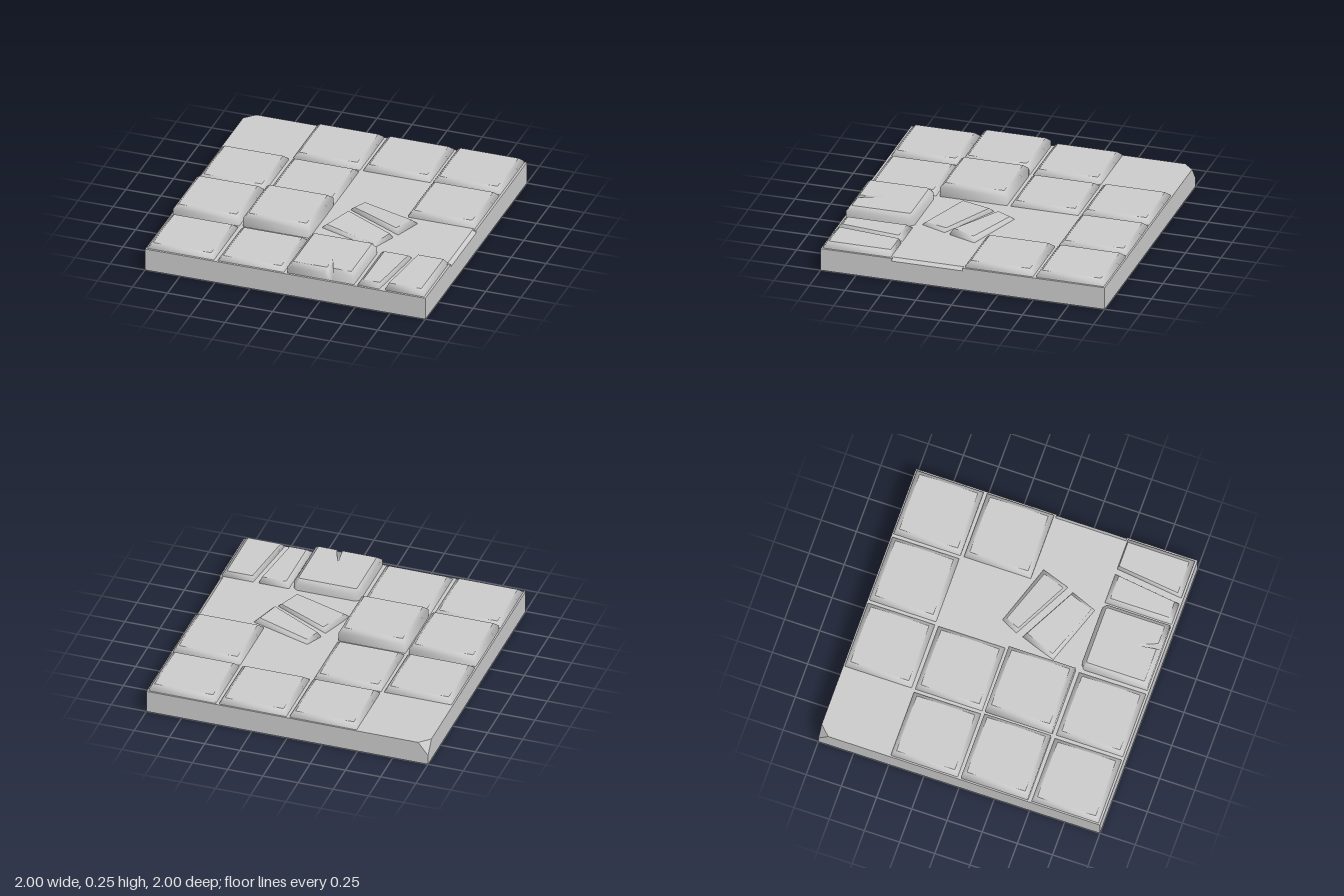
import * as THREE from 'three';

const material = new THREE.MeshStandardMaterial({ color: 0xcccccc, side: THREE.DoubleSide });
const SLAB_TOP = 0.16, THICK = 0.12, BEVEL = 0.03;

// Outline [x, z] moved inwards by one distance per edge
function insetOutline(pts, insets) {
  const n = pts.length;
  const normal = (a, b) => {
    const dx = b[0] - a[0], dz = b[1] - a[1], l = Math.hypot(dx, dz);
    return [-dz / l, dx / l];
  };
  return pts.map((p, i) => {
    const j = (i + n - 1) % n;
    const a = normal(pts[j], p), b = normal(p, pts[(i + 1) % n]);
    const d1 = insets[j], d2 = insets[i], det = a[0] * b[1] - a[1] * b[0];
    if (Math.abs(det) < 0.01) return [p[0] + b[0] * d2, p[1] + b[1] * d2];
    return [p[0] + (d1 * b[1] - d2 * a[1]) / det, p[1] + (a[0] * d2 - b[0] * d1) / det];
  });
}

// Open-bottomed tile: wall ring, bevel ring and a flat cap
function tile(name, outline, top, { insets, tilt = () => 0, capEdit } = {}) {
  const n = outline.length;
  const cap = insetOutline(outline, insets || outline.map(() => BEVEL));
  if (capEdit) capEdit(cap);
  const rings = [[outline, top - THICK], [outline, top - BEVEL], [cap, top], [cap, top]];
  const pos = [], idx = [];
  for (const [ring, y] of rings)
    for (const [x, z] of ring) pos.push(x, y + tilt(x, z), z);
  for (let r = 0; r < 2; r++)
    for (let i = 0; i < n; i++) {
      const j = (i + 1) % n, a = r * n + i, b = r * n + j;
      idx.push(a, a + n, b + n, a, b + n, b);
    }
  const contour = cap.map(([x, z]) => new THREE.Vector2(x, z));
  for (const [a, b, c] of THREE.ShapeUtils.triangulateShape(contour, [])) {
    const [A, B, C] = [contour[a], contour[b], contour[c]];
    const cross = (B.x - A.x) * (C.y - A.y) - (B.y - A.y) * (C.x - A.x);
    idx.push(3 * n + a, 3 * n + (cross > 0 ? c : b), 3 * n + (cross > 0 ? b : c));
  }
  const geo = new THREE.BufferGeometry();
  geo.setAttribute('position', new THREE.Float32BufferAttribute(pos, 3));
  geo.setIndex(idx);
  geo.computeVertexNormals();
  const mesh = new THREE.Mesh(geo, material);
  mesh.name = name;
  return mesh;
}

// Hollow slab with a chipped corner and a worn right edge
function slab() {
  const pos = [], T = SLAB_TOP, C = 0.93, N = 0.975, L = 0.14;
  const face = (...p) => {
    for (let i = 1; i < p.length - 1; i++) pos.push(...p[0], ...p[i], ...p[i + 1]);
  };
  // top
  face([-1, T, -C], [-1, T, 1], [N, T, 1], [N, T, -1], [-C, T, -1]);
  face([N, T, -1], [N, T, 0], [1, T, 0], [1, T, -1]);
  face([N, T, 0.5], [N, T, 1], [1, T, 1], [1, T, 0.5]);
  // worn edge
  face([N, T, 0], [N, T, 0.5], [1, L, 0.5], [1, L, 0]);
  face([N, T, 0], [1, L, 0], [1, T, 0]);
  face([N, T, 0.5], [1, T, 0.5], [1, L, 0.5]);
  // chipped corner
  face([-1, 0.07, -1], [-1, T, -C], [-C, T, -1]);
  // sides
  face([-1, 0, 1], [1, 0, 1], [1, T, 1], [-1, T, 1]);
  face([1, 0, -1], [-1, 0, -1], [-1, 0.07, -1], [-C, T, -1], [1, T, -1]);
  face([-1, 0, -1], [-1, 0, 1], [-1, T, 1], [-1, T, -C], [-1, 0.07, -1]);
  face([1, 0, 1], [1, 0, -1], [1, L, -1], [1, L, 1]);
  face([1, L, 0], [1, L, -1], [1, T, -1], [1, T, 0]);
  face([1, L, 1], [1, L, 0.5], [1, T, 0.5], [1, T, 1]);
  const geo = new THREE.BufferGeometry();
  geo.setAttribute('position', new THREE.Float32BufferAttribute(pos, 3));
  geo.computeVertexNormals();
  const mesh = new THREE.Mesh(geo, material);
  mesh.name = 'slab';
  return mesh;
}

export function createModel() {
  const group = new THREE.Group();
  group.name = 'tiledFloor';
  group.add(slab());

  // Whole tiles: top height per cell, rows from back to front, 0 = no whole tile
  const heights = [
    [0, 0.2, 0.2, 0.205],
    [0.2, 0.195, 0, 0.205],
    [0.23, 0.255, 0, 0],
    [0.195, 0.19, 0, 0],
  ];
  const half = 0.237;
  heights.forEach((row, r) => row.forEach((h, c) => {
    if (!h) return;
    const x = -0.752 + c * 0.5, z = -0.752 + r * 0.5;
    group.add(tile('tile', [[x - half, z - half], [x + half, z - half],
      [x + half, z + half], [x - half, z + half]], h));
  }));

  // Raised tile with clipped back corners and a crack opening to the front
  group.add(tile('crackedTile', [
    [0.04, 0.511], [0.455, 0.511], [0.485, 0.535], [0.485, 0.985],
    [0.335, 0.985], [0.3, 0.985], [0.27, 0.985], [0.011, 0.985], [0.011, 0.535],
  ], 0.24, {
    capEdit: (cap) => {
      cap[4] = [0.325, 0.955];
      cap[5] = [0.265, 0.8];
      cap[6] = [0.285, 0.955];
    },
  }));

  // Tile split in two at the front corner
  group.add(tile('splitTileLeft',
    [[0.511, 0.511], [0.725, 0.511], [0.665, 0.985], [0.511, 0.985]], 0.195,
    { insets: [BEVEL, 0.01, BEVEL, BEVEL] }));
  group.add(tile('splitTileRight',
    [[0.765, 0.511], [0.985, 0.511], [0.985, 0.985], [0.71, 0.985]], 0.203,
    { insets: [0.01, BEVEL, BEVEL, 0.01] }));

  // Loose, turned halves of a broken tile, sloping slightly
  group.add(tile('looseHalfBack',
    [[0.165, -0.11], [0.6, 0.045], [0.53, 0.24], [0.11, 0.02]], 0.19,
    { insets: [BEVEL, BEVEL, 0.01, BEVEL], tilt: (x, z) => (z - 0.05) * 0.06 }));
  group.add(tile('looseHalfFront',
    [[0.1, 0.07], [0.515, 0.285], [0.445, 0.48], [0.005, 0.32]], 0.185,
    { insets: [0.01, BEVEL, BEVEL, BEVEL], tilt: (x, z) => (0.28 - z) * 0.04 }));

  return group;
}
